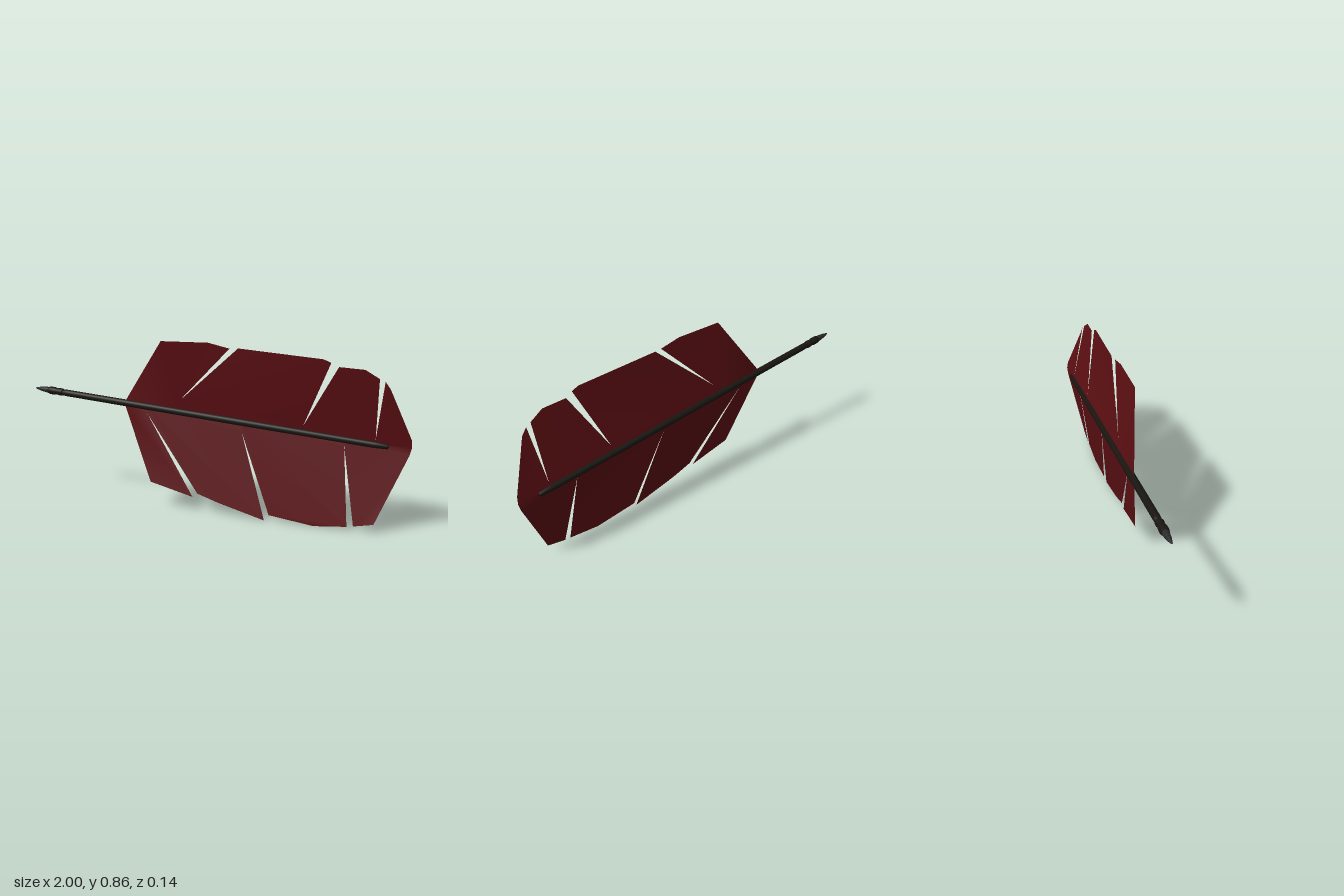
import * as THREE from 'three';
import { mergeVertices } from 'three/addons/utils/BufferGeometryUtils.js';

const START = new THREE.Vector3(-1, 0.575, 0.046);
const END = new THREE.Vector3(0.9, 0.41, -0.06);

// Point on the centre line of the feather at a given x
function spine(x) {
  return START.clone().lerp(END, (x - START.x) / (END.x - START.x));
}

// Point on the vane near the centre line; both sides lean forward
function slit([x, y]) {
  const s = spine(x);
  return new THREE.Vector3(x, y, s.z + 0.19 * Math.abs(y - s.y));
}

// One side of the vane: barbs (outer edge points) parted by slits
function addSide(barbs, slits, positions) {
  const bases = slits.map(slit);
  barbs.forEach((edge, i) => {
    const first = i === 0, last = i === barbs.length - 1;
    const ring = [spine(first ? -0.465 : bases[i - 1].x)];
    if (!first) ring.push(bases[i - 1]);
    edge.forEach(p => ring.push(new THREE.Vector3(...p)));
    if (!last) ring.push(bases[i]);
    ring.push(last ? new THREE.Vector3(1, 0.415, -0.071) : spine(bases[i].x));
    if (THREE.ShapeUtils.isClockWise(ring)) ring.reverse();
    for (const face of THREE.ShapeUtils.triangulateShape(ring, [])) {
      for (const k of face) positions.push(...ring[k].toArray());
    }
  });
}

function createVane() {
  const positions = [];
  // Upper side
  addSide([
    [[-0.22, 0.865, 0.07], [0.03, 0.867, 0.057], [0.14, 0.843, 0.052]],
    [[0.18, 0.845, 0.042], [0.6, 0.815, 0.038], [0.635, 0.8, 0.035]],
    [[0.67, 0.782, 0.028], [0.79, 0.776, 0.025], [0.855, 0.737, 0.015]],
    [[0.88, 0.725, 0.01], [0.905, 0.69, 0.007], [0.998, 0.45, -0.066]],
  ], [[-0.15, 0.56], [0.49, 0.48], [0.835, 0.44]], positions);
  // Lower side
  addSide([
    [[-0.29, 0.135, 0.068], [-0.055, 0.08, 0.06]],
    [[-0.03, 0.1, 0.056], [0.08, 0.065, 0.05], [0.325, 0.003, 0.042]],
    [[0.345, 0.03, 0.032], [0.57, 0.003, 0.022], [0.73, 0.02, 0.014]],
    [[0.76, 0.025, 0.01], [0.855, 0.045, 0.005], [0.99, 0.375, -0.066]],
  ], [[-0.33, 0.48], [0.18, 0.43], [0.69, 0.4]], positions);

  const raw = new THREE.BufferGeometry();
  raw.setAttribute('position', new THREE.Float32BufferAttribute(positions, 3));
  const geometry = mergeVertices(raw, 1e-4);
  geometry.computeVertexNormals();
  return geometry;
}

export function createModel() {
  const group = new THREE.Group();
  group.name = 'quillPen';
  const red = new THREE.MeshStandardMaterial({ color: 0x5c0f13, side: THREE.DoubleSide });
  const black = new THREE.MeshStandardMaterial({ color: 0x191611 });
  const grey = new THREE.MeshStandardMaterial({ color: 0x2a2a2a });

  const add = (name, geometry, material, parent) => {
    const mesh = new THREE.Mesh(geometry, material);
    mesh.name = name;
    parent.add(mesh);
  };
  const lathe = profile =>
    new THREE.LatheGeometry(profile.map(p => new THREE.Vector2(...p)), 12);

  add('vane', createVane(), red, group);

  // Pen built along y, then laid along the centre line
  const pen = new THREE.Group();
  pen.name = 'pen';
  const axis = END.clone().sub(START);
  const length = axis.length();
  pen.position.copy(START);
  pen.quaternion.setFromUnitVectors(new THREE.Vector3(0, 1, 0), axis.normalize());
  group.add(pen);

  add('shaft', lathe([[0, 0.16], [0.016, 0.16], [0.018, 0.2], [0.018, 1.2],
    [0.016, length - 0.07], [0.012, length - 0.01], [0, length]]), black, pen);
  add('nib', lathe([[0, 0], [0.004, 0.005], [0.012, 0.04], [0.016, 0.075],
    [0.016, 0.1], [0, 0.1]]), grey, pen);
  add('collar', lathe([[0, 0.085], [0.018, 0.085], [0.021, 0.095], [0.021, 0.12],
    [0.018, 0.13], [0.018, 0.145], [0.02, 0.152], [0.02, 0.165], [0.017, 0.172],
    [0, 0.172]]), black, pen);
  return group;
}
